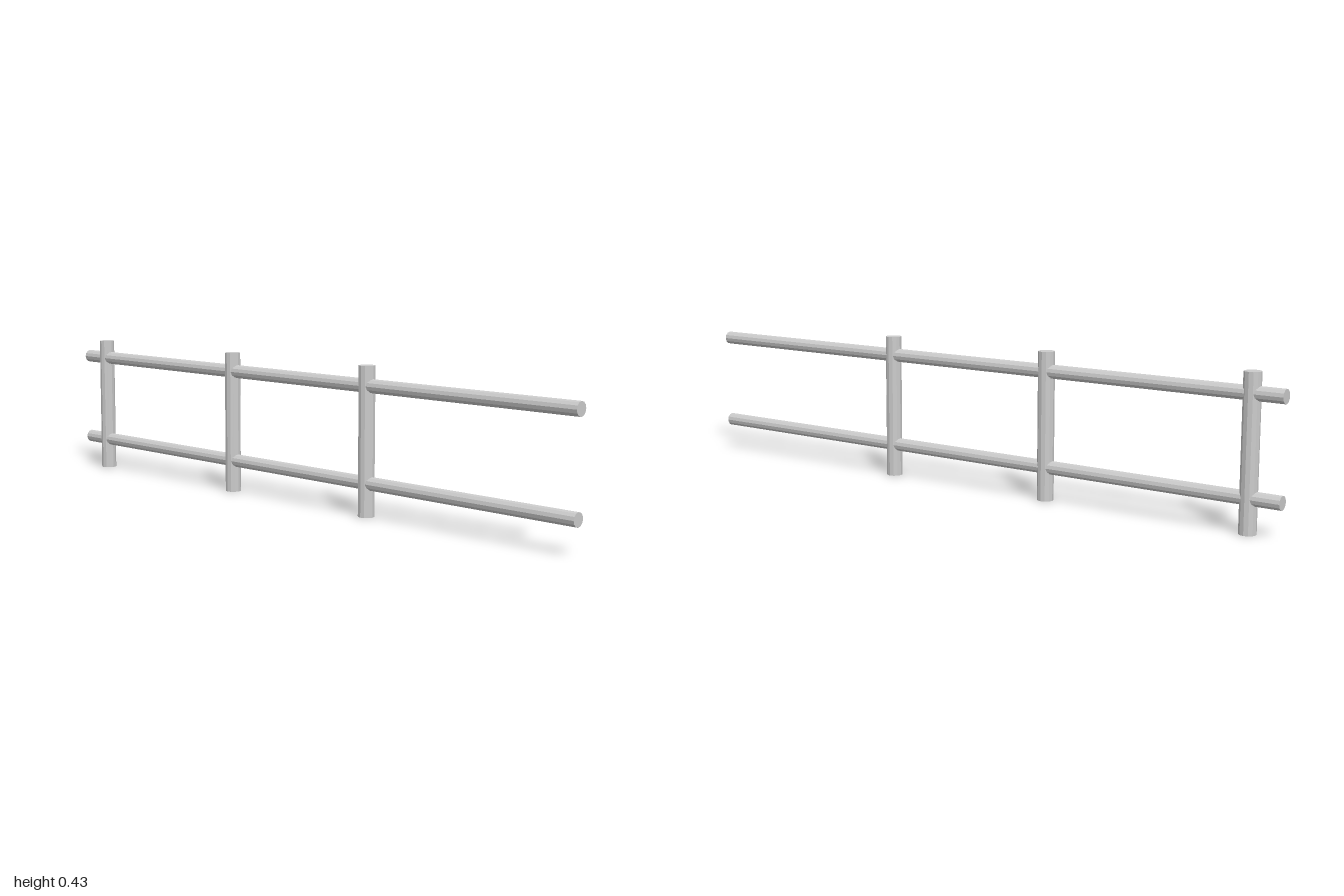
import * as THREE from 'three';

const SIDES = 12;

export function createModel() {
  const fence = new THREE.Group();
  fence.name = 'fence';
  const material = new THREE.MeshStandardMaterial({ color: 0xcccccc, flatShading: true });

  // upright round posts, unevenly spaced along z
  const postHeight = 0.429;
  const postGeometry = new THREE.CylinderGeometry(0.024, 0.024, postHeight, SIDES);
  [0.288, -0.272, -0.905].forEach((z, i) => {
    const post = new THREE.Mesh(postGeometry, material);
    post.name = `post${i + 1}`;
    post.position.set(0, postHeight / 2, z);
    fence.add(post);
  });

  // long horizontal rails running through the posts
  const railGeometry = new THREE.CylinderGeometry(0.02, 0.02, 2, SIDES).rotateX(Math.PI / 2);
  for (const [name, y] of [['lowerRail', 0.096], ['upperRail', 0.372]]) {
    const rail = new THREE.Mesh(railGeometry, material);
    rail.name = name;
    rail.position.y = y;
    fence.add(rail);
  }

  return fence;
}
